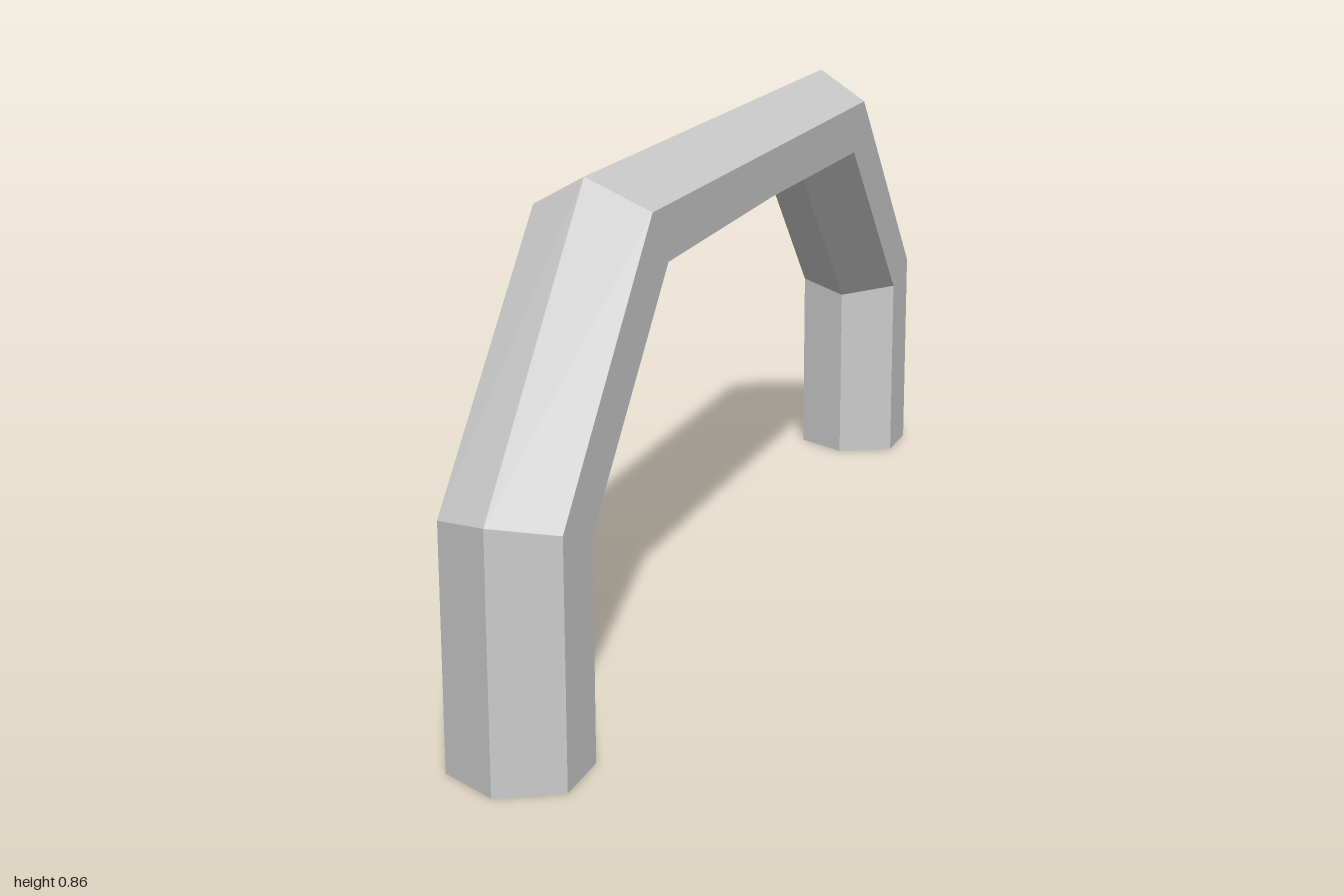
import * as THREE from 'three';

// Each row is one lengthwise edge of the hexagonal tube: its distance from the
// x = 0 plane, then its [z, y] at the elbow, shoulder and middle of the span.
const edges = [
  { x: 0, elbow: [1, 0.42], shoulder: [0.615, 0.86], middle: 0.86 }, // outer ridge
  { x: 0.1, elbow: [0.947, 0.403], shoulder: [0.584, 0.805], middle: 0.805 },
  { x: 0.1, elbow: [0.838, 0.368], shoulder: [0.517, 0.713], middle: 0.72 },
  { x: 0, elbow: [0.785, 0.352], shoulder: [0.486, 0.669], middle: 0.673 }, // inner ridge
];
// Close the hexagon by mirroring the two side edges
const hexagon = [...edges, { ...edges[2], x: -0.1 }, { ...edges[1], x: -0.1 }];

// The lengthwise path of one edge, from the front foot over to the back foot
function edgePath({ x, elbow, shoulder, middle }) {
  const half = [[elbow[0], 0], elbow, shoulder];
  const back = half.map(([z, y]) => [-z, y]).reverse();
  return [...half, [0, middle], ...back].map(([z, y]) => new THREE.Vector3(x, y, z));
}

export function createModel() {
  const paths = hexagon.map(edgePath);
  const points = [];
  paths.forEach((path, i) => {
    const next = paths[(i + 1) % paths.length];
    for (let j = 0; j < path.length - 1; j++) {
      const [a, b, c, d] = [path[j], next[j], next[j + 1], path[j + 1]];
      points.push(a, b, c, a, c, d);
    }
  });
  const geometry = new THREE.BufferGeometry().setFromPoints(points);
  geometry.computeVertexNormals();

  // Open-ended tube, so both sides show
  const material = new THREE.MeshStandardMaterial({
    color: 0xcccccc, flatShading: true, side: THREE.DoubleSide,
  });
  const handle = new THREE.Mesh(geometry, material);
  handle.name = 'archedHandle';

  const group = new THREE.Group();
  group.name = 'handle';
  group.add(handle);
  return group;
}
